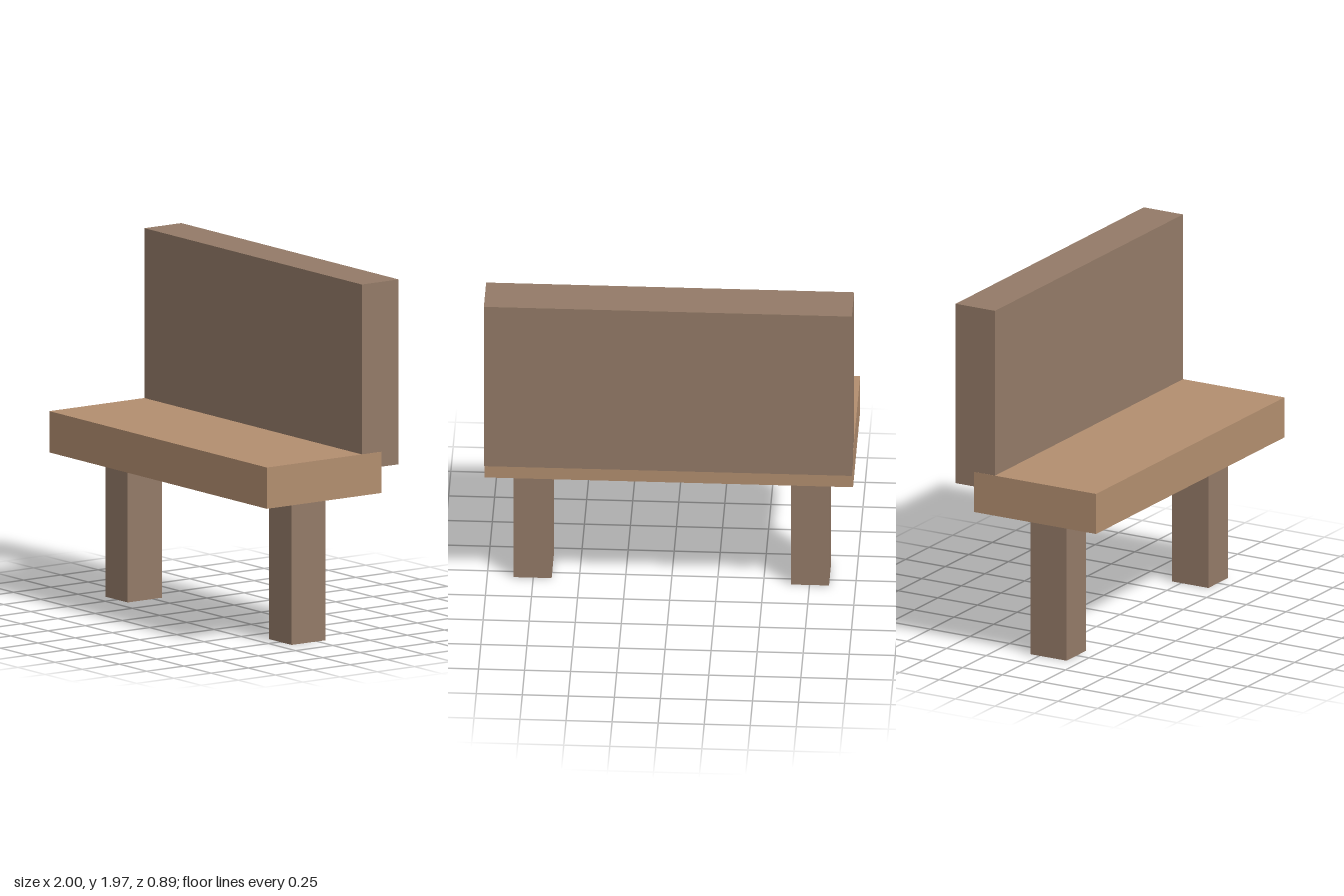
import * as THREE from 'three';

const seatWood = new THREE.MeshStandardMaterial({ color: 0xb28e6f });
seatWood.name = 'light wood';
const frameWood = new THREE.MeshStandardMaterial({ color: 0x937a67 });
frameWood.name = 'dark wood';

// Box given by its [min, max] extent on each axis
function block(name, material, [x0, x1], [y0, y1], [z0, z1]) {
  const mesh = new THREE.Mesh(new THREE.BoxGeometry(x1 - x0, y1 - y0, z1 - z0), material);
  mesh.position.set((x0 + x1) / 2, (y0 + y1) / 2, (z0 + z1) / 2);
  mesh.name = name;
  return mesh;
}

export function createModel() {
  const bench = new THREE.Group();
  bench.name = 'bench';

  bench.add(block('seat', seatWood, [-1, 1], [0.805, 1.033], [-0.328, 0.443]));

  // Backrest overlaps the seat's rear edge; a hair narrower so the seat ends stay visible
  bench.add(block('backrest', frameWood, [-0.999, 0.999], [0.95, 1.971], [-0.443, -0.195]));

  // One post under each end of the seat
  for (const [name, x] of [['leftLeg', 0.753], ['rightLeg', -0.753]]) {
    bench.add(block(name, frameWood, [x - 0.103, x + 0.103], [0, 0.82], [-0.057, 0.172]));
  }
  return bench;
}
